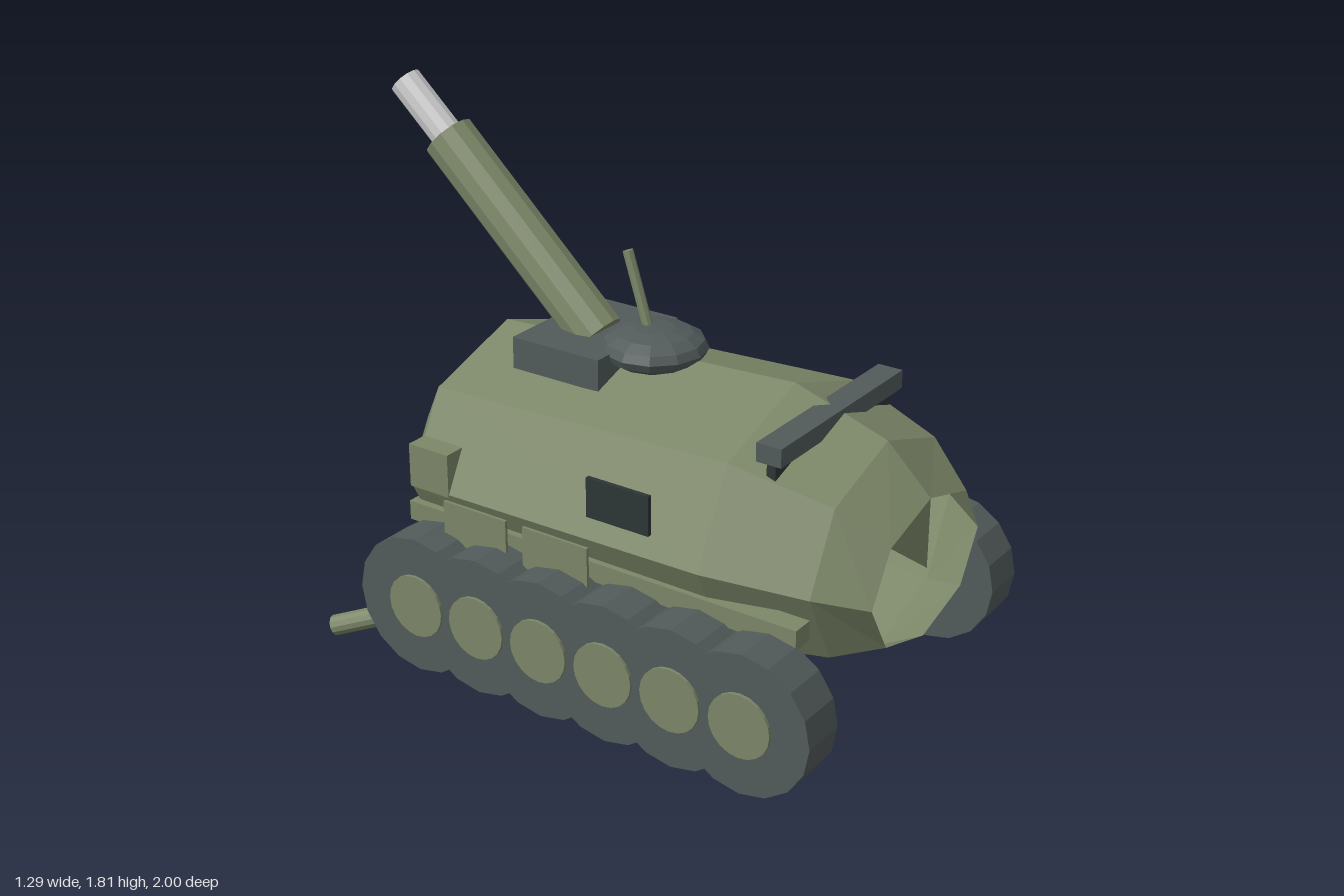
import * as THREE from 'three';

const mat = (name, color, extra = {}) => {
  const m = new THREE.MeshStandardMaterial({ color, flatShading: true, ...extra });
  m.name = name;
  return m;
};

export function createModel() {
  const green = mat('olive green', 0x7c8768);
  const hullGreen = mat('olive green', 0x7c8768, { side: THREE.DoubleSide });
  hullGreen.name = 'hull olive green';
  const grey = mat('track grey', 0x525a5a);
  const dark = mat('dark grey', 0x2d3535);
  const silver = mat('light metal', 0xcacaca);

  const model = new THREE.Group();
  model.name = 'selfPropelledGun';

  const add = (name, geometry, material) => {
    const mesh = new THREE.Mesh(geometry, material);
    mesh.name = name;
    model.add(mesh);
    return mesh;
  };
  // Box given by its limits on each axis
  const box = (name, material, [x0, x1], [y0, y1], [z0, z1]) =>
    add(name, new THREE.BoxGeometry(x1 - x0, y1 - y0, z1 - z0), material)
      .position.set((x0 + x1) / 2, (y0 + y1) / 2, (z0 + z1) / 2);
  // The same box on both sides
  const sideBoxes = (name, material, [x0, x1], y, z) => {
    box(name + 'Left', material, [x0, x1], y, z);
    box(name + 'Right', material, [-x1, -x0], y, z);
  };
  // Cylinder between two points
  const rod = (name, material, from, to, radius, sides) => {
    const a = new THREE.Vector3(...from), b = new THREE.Vector3(...to);
    const dir = b.clone().sub(a);
    const mesh = add(name, new THREE.CylinderGeometry(radius, radius, dir.length(), sides), material);
    mesh.position.copy(a).add(b).multiplyScalar(0.5);
    mesh.quaternion.setFromUnitVectors(new THREE.Vector3(0, 1, 0), dir.normalize());
  };

  // Hull: eight-sided rings [z, centre y, half width, half height], open at the ends
  const rings = [
    [1, 0.61, 0.325, 0.23], [0.85, 0.64, 0.42, 0.345], [0.53, 0.67, 0.52, 0.42],
    [-0.57, 0.645, 0.5, 0.395], [-0.725, 0.56, 0.33, 0.25],
  ];
  const point = ([z, cy, rx, ry], i) => {
    const t = (i * Math.PI) / 4;
    return [rx * Math.cos(t), cy + ry * Math.sin(t), z];
  };
  const positions = [];
  for (let k = 0; k < rings.length - 1; k++) {
    for (let i = 0; i < 8; i++) {
      const a = point(rings[k], i), b = point(rings[k], i + 1);
      const c = point(rings[k + 1], i), d = point(rings[k + 1], i + 1);
      positions.push(...a, ...c, ...b, ...b, ...c, ...d);
    }
  }
  // Single triangular flap in each open end
  const front = rings[0], back = rings[rings.length - 1];
  positions.push(0, front[1], front[0], ...point(front, 2), ...point(front, 3));
  positions.push(0, back[1], back[0], ...point(back, 2), ...point(back, 1));
  const hull = new THREE.BufferGeometry();
  hull.setAttribute('position', new THREE.Float32BufferAttribute(positions, 3));
  hull.computeVertexNormals();
  add('hull', hull, hullGreen);

  // Front visor bar and its support, side hatches, inner box
  box('visorBar', grey, [-0.35, 0.35], [0.99, 1.05], [0.615, 0.7]);
  box('visorSupport', dark, [-0.33, 0.33], [0.92, 0.99], [0.64, 0.67]);
  sideBoxes('sideHatch', dark, [0.495, 0.51], [0.735, 0.865], [0.125, 0.35]);
  box('innerBox', dark, [0.05, 0.28], [0.75, 0.84], [-0.5, -0.3]);

  // Turret, antenna and gun
  box('gunMount', grey, [-0.215, 0.215], [0.99, 1.095], [-0.375, -0.045]);
  const dome = add('turretDome', new THREE.SphereGeometry(0.172, 12, 8), grey);
  dome.scale.y = 0.4;
  dome.position.set(0, 1.087, 0.015);
  rod('antenna', green, [0, 1.1, 0.005], [0, 1.38, -0.085], 0.017, 8);
  rod('barrel', green, [0, 1.07, -0.2], [0, 1.62, -0.79], 0.087, 12);
  rod('muzzle', silver, [0, 1.55, -0.715], [0, 1.775, -0.963], 0.054, 12);

  // Side shelves, thin guards and rear lockers
  sideBoxes('shelf', green, [0.415, 0.49], [0.51, 0.575], [-0.59, 0.85]);
  sideBoxes('frontGuard', green, [0.52, 0.53], [0.5, 0.64], [-0.105, 0.14]);
  sideBoxes('rearGuard', green, [0.52, 0.53], [0.5, 0.64], [-0.415, -0.17]);
  sideBoxes('rearLocker', green, [0.43, 0.505], [0.64, 0.785], [-0.57, -0.415]);

  // Rear beams
  box('rearBeam', green, [-0.48, 0.48], [0.165, 0.255], [-0.757, -0.67]);
  box('rearStep', green, [-0.17, 0.17], [0.29, 0.375], [-0.795, -0.71]);

  for (const s of [1, -1]) {
    const side = s > 0 ? 'Left' : 'Right';
    // Rear stabiliser leg
    rod('stabiliser' + side, green, [s * 0.36, 0.27, -0.34], [s * 0.54, 0.04, -0.905], 0.035, 12);
    // Six overlapping wheels with hubs
    for (let i = 0; i < 6; i++) {
      const z = 0.76 - i * 0.242;
      rod('wheel' + side + i, grey, [s * 0.48, 0.306, z], [s * 0.635, 0.306, z], 0.232, 16);
      rod('hub' + side + i, green, [s * 0.472, 0.306, z], [s * 0.645, 0.306, z], 0.105, 20);
    }
  }
  return model;
}
